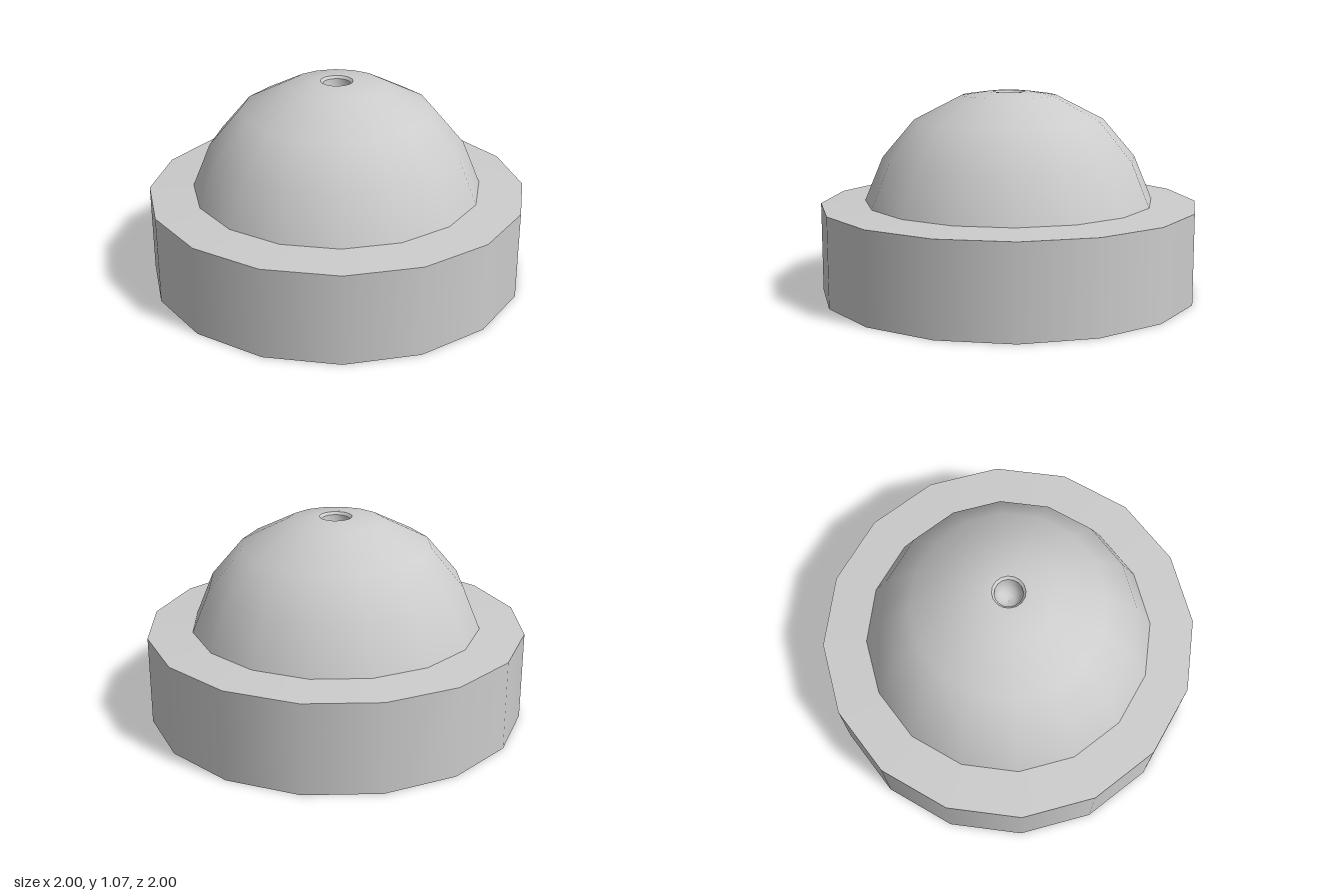
import * as THREE from 'three';

const SIDES = 16;

export function createModel() {
  const group = new THREE.Group();
  const material = new THREE.MeshStandardMaterial({ color: 0xcccccc });

  // Revolves one smooth stretch of the profile; separate stretches keep sharp creases.
  const addTurned = (name, profile) => {
    const points = profile.map(([r, y]) => new THREE.Vector2(r, y));
    const mesh = new THREE.Mesh(new THREE.LatheGeometry(points, SIDES), material);
    mesh.name = name;
    group.add(mesh);
  };

  // Base disc
  addTurned('baseUnderside', [[0, 0], [1, 0]]);
  addTurned('baseWall', [[1, 0], [1, 0.475]]);
  addTurned('baseLedge', [[1, 0.475], [0.765, 0.49]]);

  // Dome
  addTurned('dome', [[0.765, 0.49], [0.67, 0.72], [0.5, 0.92], [0.25, 1.048], [0.115, 1.067], [0.085, 1.068]]);

  // Small socket in the crown: bevelled rim, wall and rounded floor
  addTurned('socketRim', [[0.085, 1.068], [0.072, 1.055]]);
  addTurned('socket', [[0.072, 1.055], [0.07, 1.01], [0.055, 0.975], [0.03, 0.955], [0, 0.95]]);

  return group;
}
